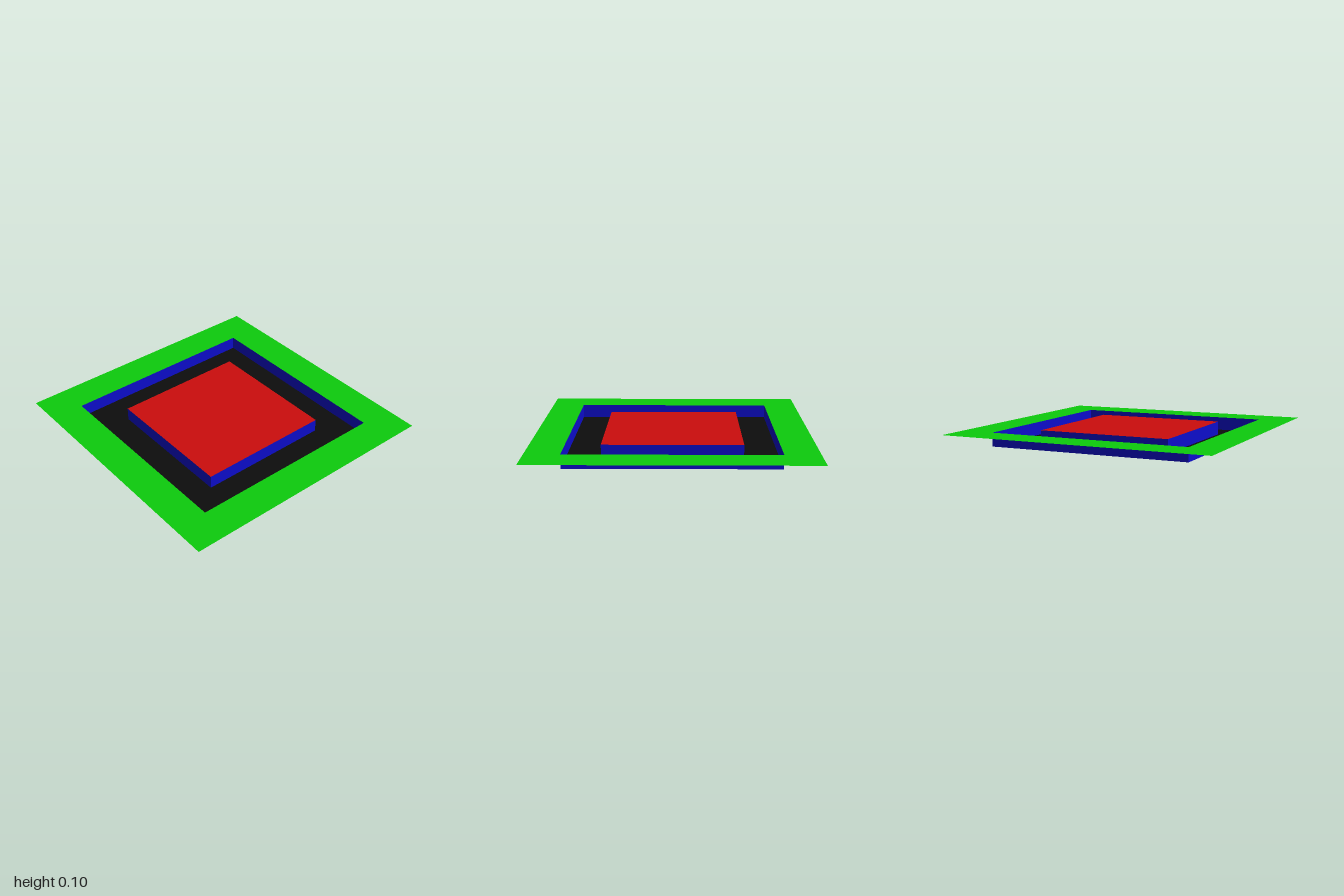
import * as THREE from 'three';

const INNER = 0.5, MIDDLE = 0.75, OUTER = 1, HEIGHT = 0.1;

function material(name, color) {
  const m = new THREE.MeshStandardMaterial({ color, side: THREE.DoubleSide });
  m.name = name;
  return m;
}

// Flat horizontal square at height y, with an optional square hole
function plate(name, half, hole, y, mat) {
  const square = (path, h) => path.moveTo(-h, -h).lineTo(h, -h).lineTo(h, h).lineTo(-h, h).closePath();
  const shape = square(new THREE.Shape(), half);
  if (hole) shape.holes.push(square(new THREE.Path(), hole));
  const mesh = new THREE.Mesh(new THREE.ShapeGeometry(shape).rotateX(-Math.PI / 2), mat);
  mesh.position.y = y;
  mesh.name = name;
  return mesh;
}

// Four thin upright walls around a square
function walls(name, half, mat) {
  const group = new THREE.Group();
  group.name = name;
  for (let i = 0; i < 4; i++) {
    const geometry = new THREE.PlaneGeometry(half * 2, HEIGHT)
      .translate(0, HEIGHT / 2, half)
      .rotateY(i * Math.PI / 2);
    const wall = new THREE.Mesh(geometry, mat);
    wall.name = name + 'Side';
    group.add(wall);
  }
  return group;
}

export function createModel() {
  const red = material('red', 0xcc0d0d);
  const green = material('green', 0x0dcc0d);
  const blue = material('blue', 0x0d0dcc);
  const black = material('black', 0x0d0d0d);

  const model = new THREE.Group();
  model.name = 'steppedSquareSurface';
  model.add(
    plate('centrePlatform', INNER, 0, HEIGHT, red),
    plate('channelFloor', MIDDLE, INNER, 0, black),
    plate('outerRim', OUTER, MIDDLE, HEIGHT, green),
    walls('innerWall', INNER, blue),
    walls('outerWall', MIDDLE, blue)
  );
  return model;
}
